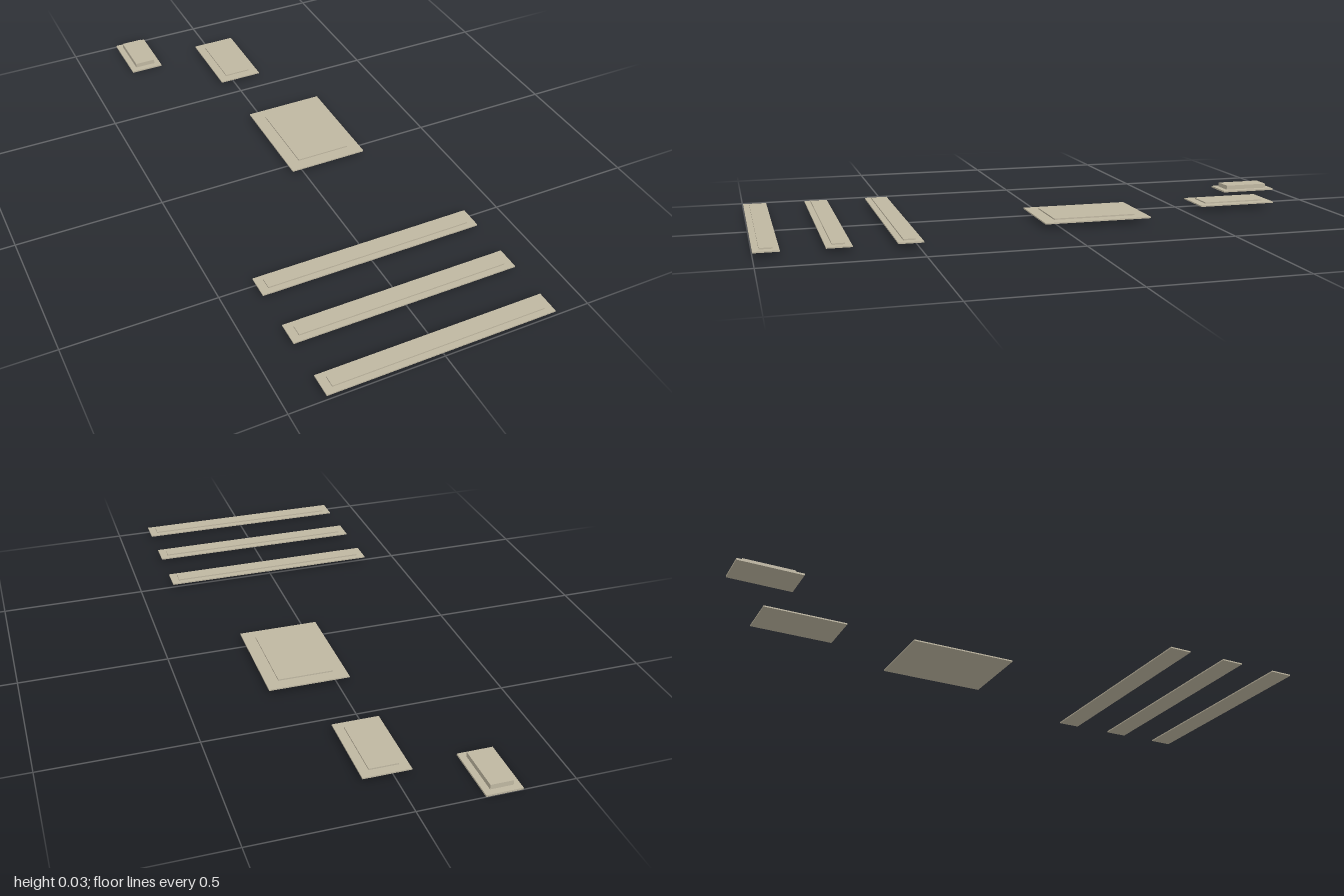
import * as THREE from 'three';

export function createModel() {
  const model = new THREE.Group();
  const stone = new THREE.MeshStandardMaterial({ color: 0xbfb7a1 });
  stone.name = 'sandstone';

  // Box given by its limits on each axis
  function slab(parent, name, [x0, x1], [y0, y1], [z0, z1]) {
    const mesh = new THREE.Mesh(new THREE.BoxGeometry(x1 - x0, y1 - y0, z1 - z0), stone);
    mesh.name = name;
    mesh.position.set((x0 + x1) / 2, (y0 + y1) / 2, (z0 + z1) / 2);
    parent.add(mesh);
  }

  // Base plate with a smaller raised panel on it
  function steppedPlate(name, x, z, insetX, insetZ, [bottom, step, top]) {
    const group = new THREE.Group();
    group.name = name;
    slab(group, 'basePlate', x, [bottom, step], z);
    slab(group, 'raisedPanel', [x[0] + insetX, x[1] - insetX], [step, top],
      [z[0] + insetZ, z[1] - insetZ]);
    model.add(group);
  }

  const levels = [0.016, 0.0205, 0.025];

  // Three long strips at the front
  [0.527, 0.745, 0.96].forEach((z, i) =>
    steppedPlate(`longStrip${i + 1}`, [-0.382, 0.38], [z - 0.04, z + 0.04], 0.027, 0.02, levels));

  // Large and medium plates
  steppedPlate('largePlate', [-0.042, 0.232], [-0.316, 0.056], 0.043, 0.043, levels);
  steppedPlate('mediumPlate', [-0.053, 0.101], [-0.838, -0.558], 0.03, 0.03, levels);

  // Small low plate with a taller block at the back
  steppedPlate('smallPlate', [-0.331, -0.214], [-1, -0.793], 0.0215, 0.0215, [0, 0.006, 0.022]);

  return model;
}
